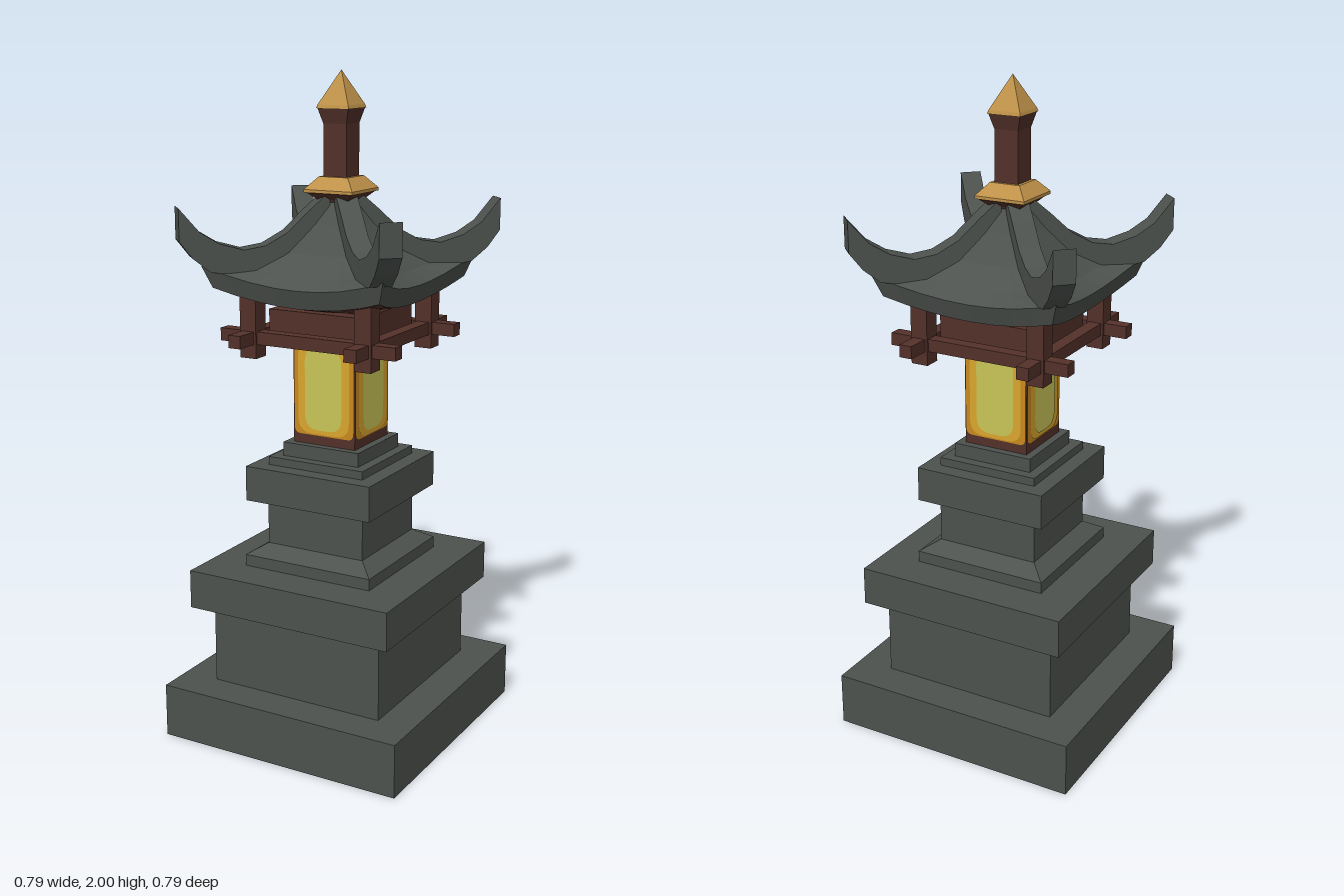
import * as THREE from 'three';

const mat = (name, color, side = THREE.FrontSide) => {
  const m = new THREE.MeshStandardMaterial({ color, side });
  m.name = name;
  return m;
};

// Separate faces so every facet gets its own normal
const facet = (geo) => {
  const g = geo.index ? geo.toNonIndexed() : geo;
  g.computeVertexNormals();
  return g;
};

// Square "lathe": profile of [half width, y], from bottom to top
const squareStack = (profile) => facet(new THREE.LatheGeometry(
  profile.map(([r, y]) => new THREE.Vector2(r * Math.SQRT2, y)), 4, Math.PI / 4));

// One roof side: rows of [mid depth, mid y, corner depth, corner y], bowed from middle to corners
const roofSide = (rows, n = 8) => {
  const pos = [], idx = [];
  rows.forEach(([mr, my, cr, cy], i) => {
    for (let j = 0; j <= n; j++) {
      const u = (j / n) * 2 - 1, k = u * u;
      pos.push(u * cr, my + (cy - my) * k, mr + (cr - mr) * k);
      if (i < rows.length - 1 && j < n) {
        const a = i * (n + 1) + j, b = a + n + 1;
        idx.push(a, b, b + 1, a, b + 1, a + 1);
      }
    }
  });
  const g = new THREE.BufferGeometry();
  g.setAttribute('position', new THREE.Float32BufferAttribute(pos, 3));
  g.setIndex(idx);
  return facet(g);
};

// Rounded rectangle plate, centred
const plate = (w, h, r) => {
  const s = new THREE.Shape(), x = w / 2, y = h / 2;
  s.moveTo(-x + r, -y);
  s.lineTo(x - r, -y);
  s.quadraticCurveTo(x, -y, x, -y + r);
  s.lineTo(x, y - r);
  s.quadraticCurveTo(x, y, x - r, y);
  s.lineTo(-x + r, y);
  s.quadraticCurveTo(-x, y, -x, y - r);
  s.lineTo(-x, -y + r);
  s.quadraticCurveTo(-x, -y, -x + r, -y);
  return new THREE.ShapeGeometry(s, 6);
};

export function createModel() {
  const model = new THREE.Group();
  model.name = 'stoneLantern';
  const stone = mat('darkStone', 0x4d524e, THREE.DoubleSide);
  const wood = mat('redBrownWood', 0x54312a, THREE.DoubleSide);
  const gold = mat('gold', 0xbf9249);
  const amber = mat('amberGlow', 0xc98a1e);
  const yellow = mat('goldenGlow', 0xd9a52e);
  const pale = mat('paleGlow', 0xc9c557);

  const add = (name, geo, material, parent = model) => {
    const m = new THREE.Mesh(geo, material);
    m.name = name;
    parent.add(m);
    return m;
  };

  // Hollow stepped pedestal, open underneath
  add('pedestal', squareStack([
    [0.395, 0], [0.395, 0.165], [0.283, 0.165], [0.283, 0.412], [0.335, 0.412], [0.335, 0.53],
    [0.213, 0.53], [0.213, 0.565], [0.162, 0.597], [0.162, 0.725], [0.21, 0.738], [0.21, 0.845],
    [0.16, 0.845], [0.16, 0.87], [0.128, 0.87], [0.128, 0.912], [0, 0.912],
  ]), stone);

  // Lantern box
  add('lanternBox', new THREE.BoxGeometry(0.208, 0.42, 0.208).translate(0, 1.12, 0), wood);

  // Bracket frame below the roof
  add('bracketBlock', new THREE.BoxGeometry(0.31, 0.08, 0.31).translate(0, 1.28, 0), wood);

  // Roof profiles, from the top outwards and back underneath
  const topRows = [
    [0.03, 1.66, 0.03, 1.66], [0.085, 1.565, 0.085, 1.565], [0.14, 1.485, 0.14, 1.49],
    [0.2, 1.432, 0.215, 1.445], [0.255, 1.4, 0.295, 1.455], [0.237, 1.345, 0.272, 1.39],
  ];
  const underRows = [[0.237, 1.345, 0.272, 1.39], [0.15, 1.325, 0.16, 1.345], [0.09, 1.315, 0.09, 1.315]];

  // Upswept ridge side profile, along the diagonal
  const ridgePoints = [
    [0.03, 1.66], [0.075, 1.605], [0.12, 1.545], [0.165, 1.51], [0.21, 1.5], [0.26, 1.52],
    [0.3, 1.555], [0.342, 1.625], [0.342, 1.53], [0.315, 1.48], [0.28, 1.44], [0.2, 1.42],
    [0.12, 1.46], [0.03, 1.6],
  ].map(([d, y]) => new THREE.Vector2(d * Math.SQRT2, y));
  const ridgeGeo = new THREE.ExtrudeGeometry(new THREE.Shape(ridgePoints), { depth: 0.064, bevelEnabled: false })
    .translate(0, 0, -0.032).rotateY(Math.PI / 4);

  // Everything that repeats on the four sides
  for (let i = 0; i < 4; i++) {
    const side = new THREE.Group();
    side.name = 'side' + (i + 1);
    side.rotation.y = i * Math.PI / 2;
    model.add(side);

    add('paneEdge', plate(0.2, 0.285, 0.02).translate(0, 1.083, 0.106), amber, side);
    add('paneRing', plate(0.172, 0.275, 0.045).translate(0, 1.083, 0.108), yellow, side);
    add('paneCentre', plate(0.124, 0.25, 0.045).translate(0, 1.083, 0.11), pale, side);

    add('rail', new THREE.BoxGeometry(0.58, 0.038, 0.04).translate(0, 1.241, 0.19), wood, side);
    add('cornerPost', new THREE.BoxGeometry(0.054, 0.2, 0.054).translate(0.19, 1.28, 0.19), wood, side);

    add('roofTop', roofSide(topRows), stone, side);
    add('roofUnderside', roofSide(underRows), wood, side);
    add('ridge', ridgeGeo, stone, side);
  }

  // Finial
  add('finialBase', squareStack([[0.045, 1.62], [0.052, 1.635], [0.074, 1.655], [0, 1.655]]), wood);
  add('finialCollar', squareStack([[0, 1.655], [0.08, 1.655], [0.08, 1.664], [0.048, 1.7], [0, 1.7]]), gold);
  add('finialPost', squareStack([
    [0.038, 1.69], [0.038, 1.85], [0.05, 1.893], [0, 1.893],
  ]), wood);
  add('finialTip', squareStack([[0, 1.893], [0.053, 1.893], [0.05, 1.903], [0, 2]]), gold);

  return model;
}
